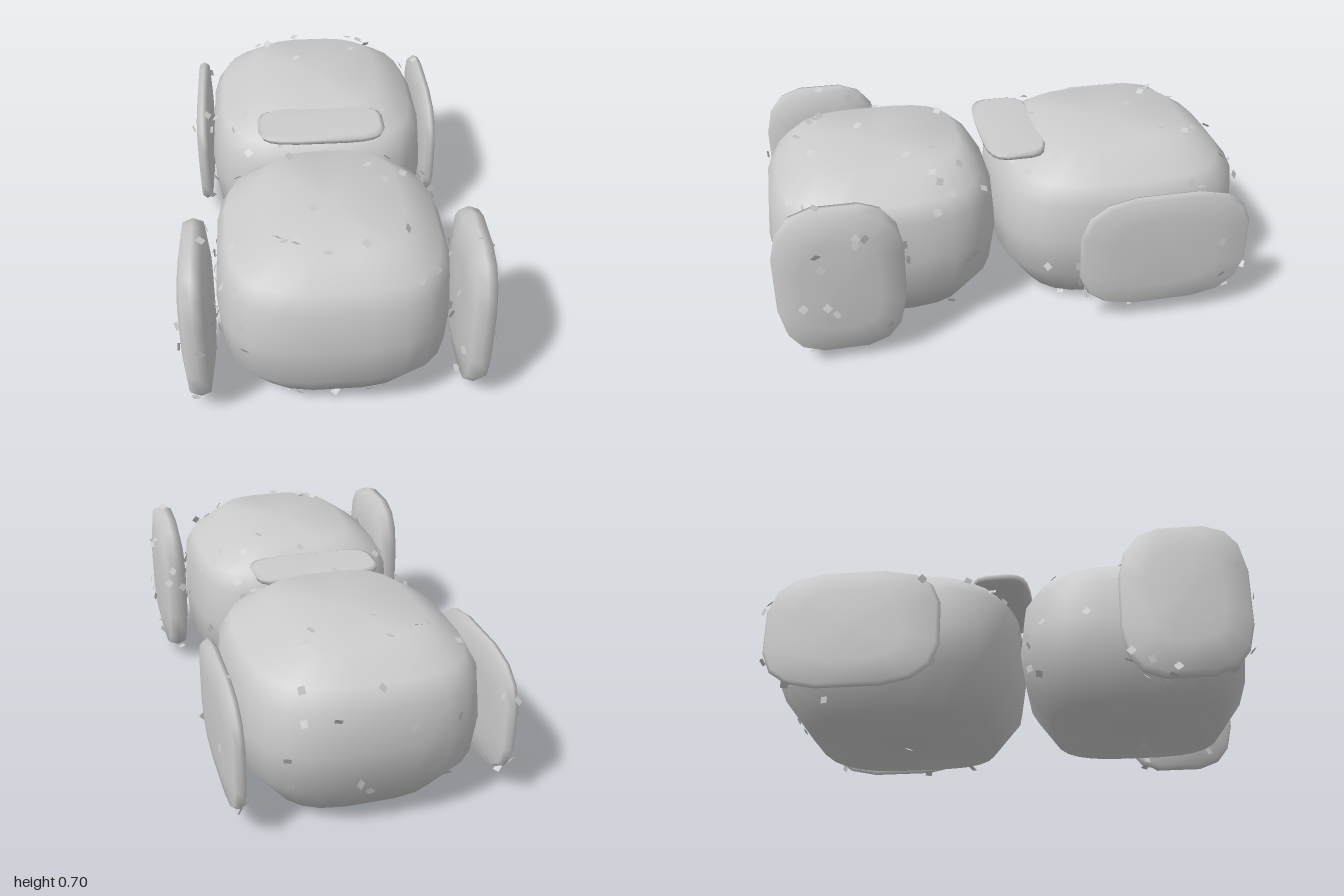
import * as THREE from 'three';
import { mergeGeometries } from 'three/addons/utils/BufferGeometryUtils.js';

const grey = new THREE.MeshStandardMaterial({ color: 0xcccccc });
const thin = new THREE.MeshStandardMaterial({ color: 0xcccccc, side: THREE.DoubleSide });

// Seeded random numbers
let seed = 7;
const rand = () => (seed = (seed * 16807) % 2147483647) / 2147483647;

// Closed smooth hull from rounded-rectangle levels [y, halfX, zMin, zMax]
function hull(levels, sides, power) {
  const pos = [], idx = [];
  const bend = v => Math.sign(v) * Math.abs(v) ** (2 / power);
  for (const [y, hx, z0, z1] of levels) {
    for (let j = 0; j < sides; j++) {
      const a = ((j + 0.5) / sides) * Math.PI * 2;
      pos.push(hx * bend(Math.cos(a)), y, (z0 + z1) / 2 + (z1 - z0) / 2 * bend(Math.sin(a)));
    }
  }
  const last = levels.length - 1, bottom = levels.length * sides, top = bottom + 1;
  pos.push(0, levels[0][0], (levels[0][2] + levels[0][3]) / 2);
  pos.push(0, levels[last][0], (levels[last][2] + levels[last][3]) / 2);
  for (let j = 0; j < sides; j++) {
    const k = (j + 1) % sides;
    for (let i = 0; i < last; i++) {
      const a = i * sides + j, b = i * sides + k;
      idx.push(a, a + sides, b, b, a + sides, b + sides);
    }
    idx.push(bottom, j, k, top, last * sides + k, last * sides + j);
  }
  const g = new THREE.BufferGeometry();
  g.setAttribute('position', new THREE.Float32BufferAttribute(pos, 3));
  g.setIndex(idx);
  g.computeVertexNormals();
  return g;
}

// Flat side pod, thin along x, centred at (x, y, z)
function pod(x, y, z, thick, hy, hz) {
  const t = thick / 2;
  const g = hull([[-t, 0.6], [-t * 0.65, 0.96], [0, 1], [t * 0.65, 0.96], [t, 0.6]]
    .map(([h, s]) => [h, hy * s, -hz * s, hz * s]), 16, 3.2);
  return g.rotateZ(-Math.PI / 2).translate(x, y, z);
}

// Small tilted square flakes scattered just off a surface
function flakes(source, count) {
  const p = source.attributes.position, ix = source.index;
  const a = new THREE.Vector3(), b = new THREE.Vector3(), c = new THREE.Vector3();
  const n = new THREE.Vector3(), tri = new THREE.Triangle(a, b, c);
  const list = [];
  for (let i = 0; i < count; i++) {
    const t = Math.floor(rand() * ix.count / 3) * 3;
    [a, b, c].forEach((v, k) => v.fromBufferAttribute(p, ix.getX(t + k)));
    tri.getNormal(n);
    const u = rand(), v = rand() * (1 - u);
    const spot = a.clone().lerp(b, u).addScaledVector(c.clone().sub(a), v).addScaledVector(n, 0.005 + 0.015 * rand());
    const turn = new THREE.Quaternion().setFromUnitVectors(new THREE.Vector3(0, 0, 1), n);
    const tilt = new THREE.Quaternion().setFromEuler(new THREE.Euler(rand() - 0.5, rand() - 0.5, Math.PI / 4));
    list.push(new THREE.PlaneGeometry(0.028, 0.028).applyQuaternion(turn.multiply(tilt)).translate(spot.x, spot.y, spot.z));
  }
  return mergeGeometries(list);
}

export function createModel() {
  const model = new THREE.Group();
  const add = (name, geometry, flakeCount) => {
    const part = new THREE.Mesh(geometry, grey);
    part.name = name;
    model.add(part);
    if (flakeCount) {
      const bits = new THREE.Mesh(flakes(geometry, flakeCount), thin);
      bits.name = name + 'Flakes';
      model.add(bits);
    }
  };

  // Two rounded bodies, end to end
  add('frontBody', hull([
    [0.055, 0.33, 0.17, 0.85], [0.2, 0.43, 0.07, 0.95], [0.36, 0.44, 0.045, 0.965],
    [0.52, 0.43, 0.06, 0.95], [0.59, 0.395, 0.1, 0.91], [0.685, 0.26, 0.18, 0.83],
  ], 24, 3.2), 60);
  add('rearBody', hull([
    [0.04, 0.34, -0.82, -0.08], [0.2, 0.45, -0.94, 0.03], [0.36, 0.465, -0.965, 0.05],
    [0.52, 0.45, -0.95, 0.04], [0.59, 0.41, -0.89, -0.02], [0.685, 0.27, -0.76, -0.14],
  ], 24, 3.2), 50);

  // Tongue reaching forward from the rear body's top
  add('tongue', hull([
    [0.645, 0.2, -0.15, 0.05], [0.655, 0.25, -0.16, 0.085],
    [0.675, 0.26, -0.16, 0.09], [0.683, 0.24, -0.15, 0.07],
  ], 20, 4), 0);

  // Side pods, mirrored
  for (const [side, s] of [['left', 1], ['right', -1]]) {
    add(side + 'FrontPod', pod(s * 0.507, 0.37, 0.705, 0.115, 0.318, 0.247), 24);
    add(side + 'RearPod', pod(s * 0.502, 0.33, -0.57, 0.065, 0.25, 0.35), 14);
  }
  return model;
}
